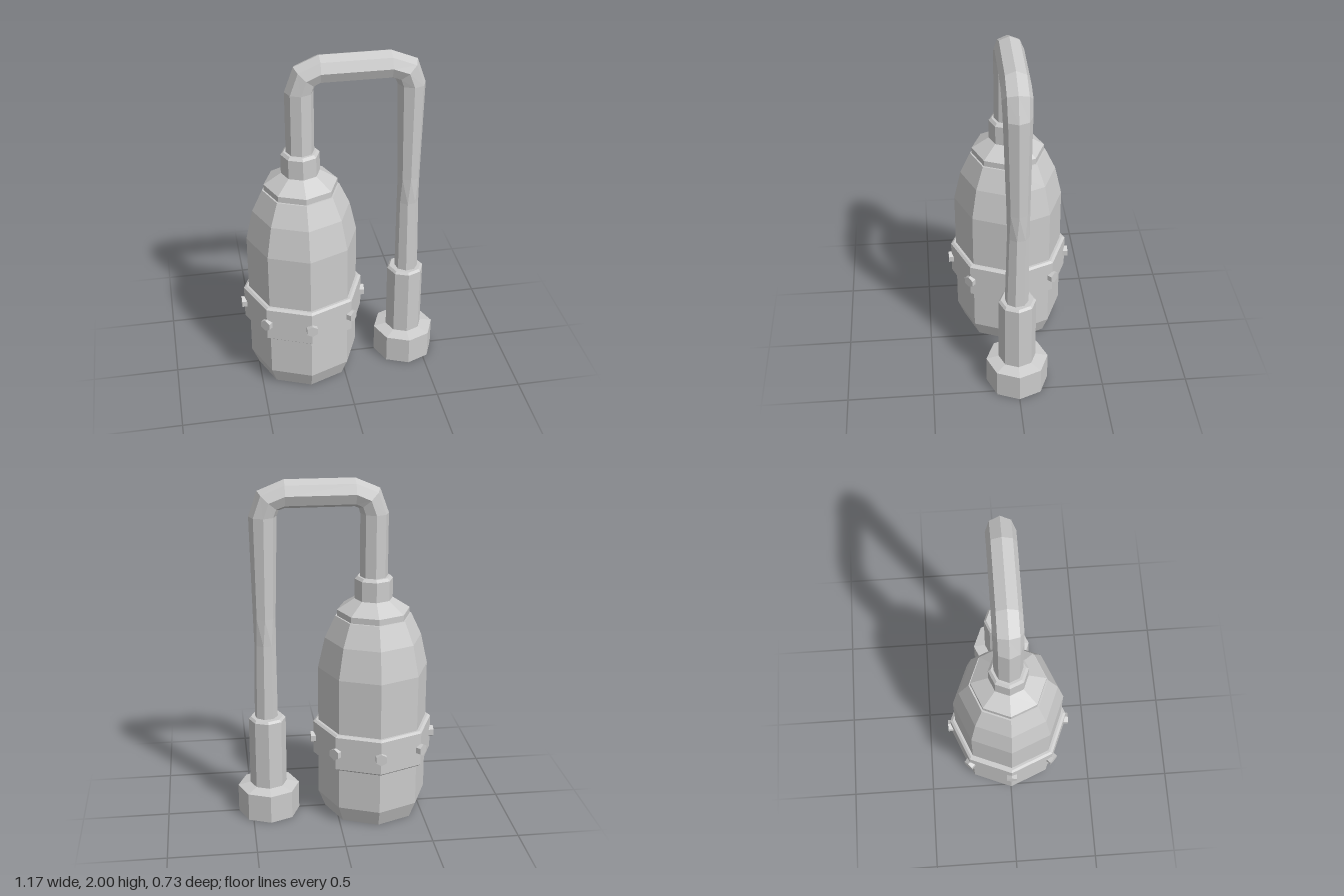
import * as THREE from 'three';

const material = new THREE.MeshStandardMaterial({ color: 0xcccccc, flatShading: true, side: THREE.DoubleSide });
const SIDES = 8;
const TANK_X = -0.22;
const NOZZLE_X = 0.4;

function addMesh(parent, name, geometry, x = 0) {
  const mesh = new THREE.Mesh(geometry, material);
  mesh.name = name;
  mesh.position.x = x;
  parent.add(mesh);
  return mesh;
}

// Eight-sided turned part; profile is [radius, height] from bottom to top
function turned(profile) {
  return new THREE.LatheGeometry(profile.map(([r, y]) => new THREE.Vector2(r, y)), SIDES);
}

// Tube through rings of [x, y, z, direction of the outer side in degrees, radius, twist]
function hoseGeometry(rings) {
  const positions = [];
  const index = [];
  rings.forEach(([x, y, z, degrees, r, twist = 0], i) => {
    const a = THREE.MathUtils.degToRad(degrees);
    for (let j = 0; j < SIDES; j++) {
      const t = (j / SIDES) * Math.PI * 2 + twist;
      const out = r * Math.cos(t);
      positions.push(x + out * Math.cos(a), y + out * Math.sin(a), z + r * Math.sin(t));
      if (i === 0) continue;
      const k = (j + 1) % SIDES;
      const p = (i - 1) * SIDES;
      const q = i * SIDES;
      index.push(p + j, q + j, p + k, p + k, q + j, q + k);
    }
  });
  const geometry = new THREE.BufferGeometry();
  geometry.setAttribute('position', new THREE.Float32BufferAttribute(positions, 3));
  geometry.setIndex(index);
  geometry.computeVertexNormals();
  return geometry;
}

export function createModel() {
  const model = new THREE.Group();
  model.name = 'tankWithHose';

  // Tank with tapered foot and rounded shoulder
  addMesh(model, 'tankBody', turned([
    [0, 0], [0.28, 0], [0.32, 0.1], [0.32, 0.9], [0.28, 1.08], [0.22, 1.21], [0, 1.21],
  ]), TANK_X);
  addMesh(model, 'tankCap', turned([
    [0, 1.2], [0.21, 1.2], [0.21, 1.245], [0.11, 1.31], [0, 1.31],
  ]), TANK_X);
  addMesh(model, 'hoseCollar', turned([
    [0, 1.3], [0.11, 1.3], [0.11, 1.425], [0.095, 1.44], [0, 1.44],
  ]), TANK_X);

  // Band around the tank, with a bolt on every corner
  addMesh(model, 'tankBand', turned([
    [0.31, 0.35], [0.335, 0.35], [0.35, 0.362], [0.35, 0.56], [0.335, 0.57], [0.31, 0.57],
  ]), TANK_X);
  const boltGeometry = new THREE.CylinderGeometry(0.035, 0.035, 0.05, 6).rotateX(Math.PI / 2);
  for (let i = 0; i < SIDES; i++) {
    const a = (i / SIDES) * Math.PI * 2;
    const bolt = addMesh(model, 'bandBolt', boltGeometry);
    bolt.position.set(TANK_X + 0.342 * Math.sin(a), 0.46, 0.342 * Math.cos(a));
    bolt.rotation.y = a;
  }

  // Hose rises from the tank, bends over and drops to the nozzle
  addMesh(model, 'hose', hoseGeometry([
    [TANK_X, 1.4, 0, 180, 0.08],
    [TANK_X, 1.8, 0, 180, 0.08],
    [-0.19, 1.885, 0, 137, 0.081],
    [-0.11, 1.92, 0, 90, 0.08],
    [0.28, 1.92, 0, 90, 0.08],
    [0.37, 1.885, 0, 43, 0.081],
    [NOZZLE_X, 1.8, 0, 0, 0.078],
    [0.403, 1.22, -0.004, 0, 0.064],
    [0.402, 1.06, -0.004, 0, 0.062, 0.2],
    [0.405, 0.58, 0.004, 0, 0.068, 0.2],
  ]));

  // Nozzle sleeve and flared foot
  addMesh(model, 'nozzleSleeve', turned([
    [0, 0.15], [0.108, 0.15], [0.108, 0.597], [0.095, 0.61], [0, 0.61],
  ]), NOZZLE_X);
  addMesh(model, 'nozzleFoot', turned([
    [0, 0], [0.181, 0], [0.181, 0.168], [0.108, 0.186], [0, 0.186],
  ]), NOZZLE_X);

  return model;
}
